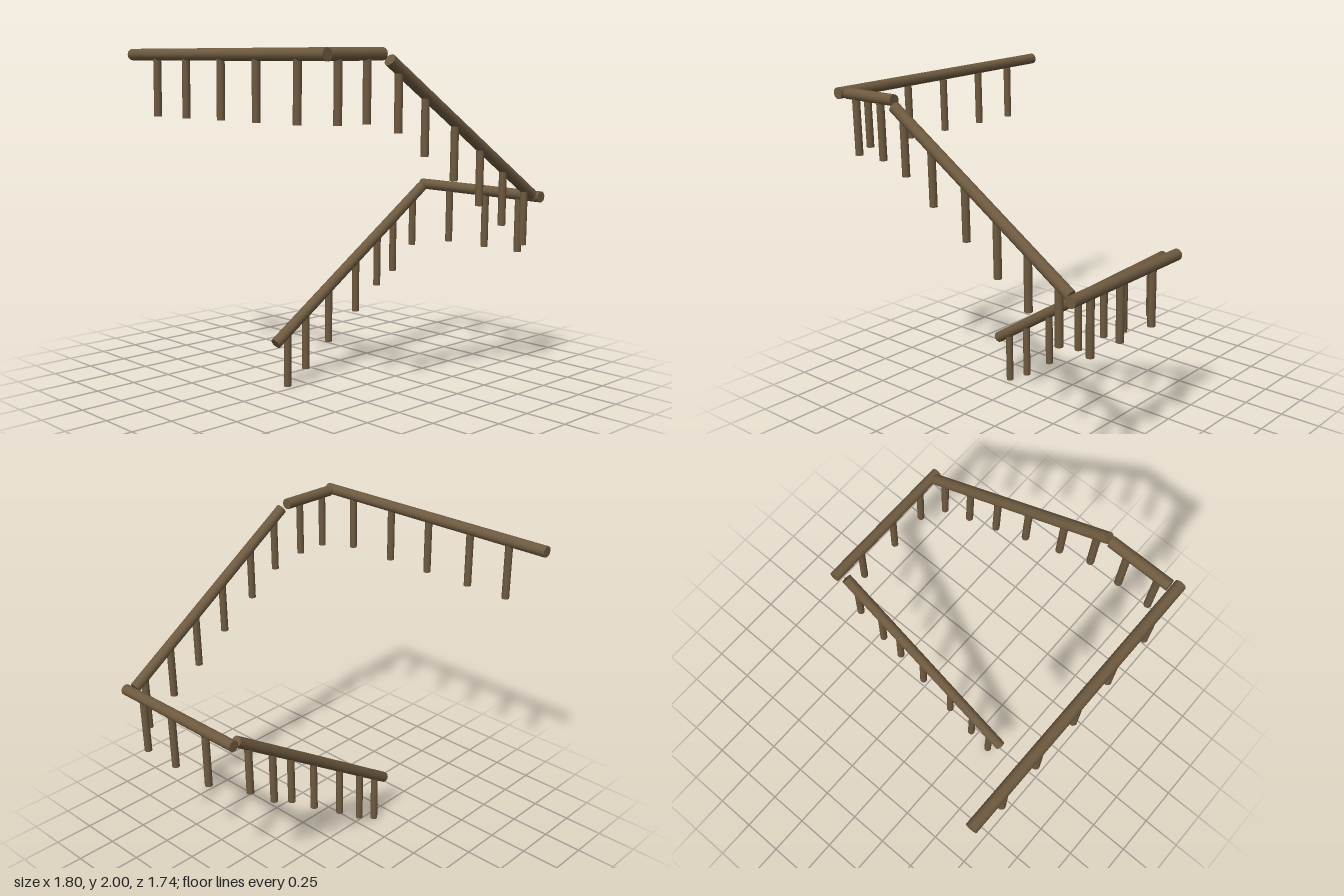
import * as THREE from 'three';

const UP = new THREE.Vector3(0, 1, 0);
const RAIL_R = 0.034, POST_R = 0.023, SIDES = 12;

export function createModel() {
  const group = new THREE.Group();
  group.name = 'logRailing';
  const wood = new THREE.MeshStandardMaterial({ color: 0x6e5a40 });
  wood.name = 'brown wood';

  // round log between two points
  function log(name, a, b, radius) {
    const dir = b.clone().sub(a);
    const mesh = new THREE.Mesh(new THREE.CylinderGeometry(radius, radius, dir.length(), SIDES), wood);
    mesh.position.copy(a).lerp(b, 0.5);
    mesh.quaternion.setFromUnitVectors(UP, dir.normalize());
    mesh.name = name;
    return mesh;
  }

  // handrail with posts, each given as [position along axis, bottom height]
  function railing(name, from, to, axis, posts) {
    const section = new THREE.Group();
    section.name = name;
    const a = new THREE.Vector3(...from), b = new THREE.Vector3(...to);
    section.add(log('handrail', a, b, RAIL_R));
    for (const [s, bottom] of posts) {
      const top = a.clone().lerp(b, (s - a[axis]) / (b[axis] - a[axis]));
      const foot = top.clone().setY(bottom);
      foot.z -= 0.004; // slight lean
      section.add(log('post', foot, top, POST_R));
    }
    group.add(section);
  }

  // upper landing
  railing('upperLandingSide', [-0.87, 1.963, 0.835], [-0.87, 1.97, -0.87], 'z',
    [0.615, 0.29, -0.012, -0.33, -0.612].map((z) => [z, 1.61]));
  railing('upperLandingFront', [-0.83, 1.963, 0.795], [-0.44, 1.968, 0.795], 'x',
    [-0.76, -0.555].map((x) => [x, 1.61]));

  // upper flight
  railing('upperFlight', [-0.415, 1.937, 0.819], [0.83, 1.135, 0.819], 'x',
    [[-0.345, 1.555], [-0.135, 1.42], [0.11, 1.27], [0.335, 1.11], [0.548, 0.975], [0.755, 0.835]]);

  // middle landing
  railing('middleLanding', [0.865, 1.12, 0.865], [0.865, 1.125, -0.095], 'z',
    [0.7, 0.44, 0.145].map((z) => [z, 0.765]));

  // lower flight
  railing('lowerFlight', [-0.463, 0.277, -0.05], [0.807, 1.112, -0.05], 'x',
    [[-0.37, 0], [-0.222, 0.08], [-0.033, 0.215], [0.2, 0.37], [0.392, 0.51], [0.537, 0.585], [0.722, 0.735]]);

  return group;
}
